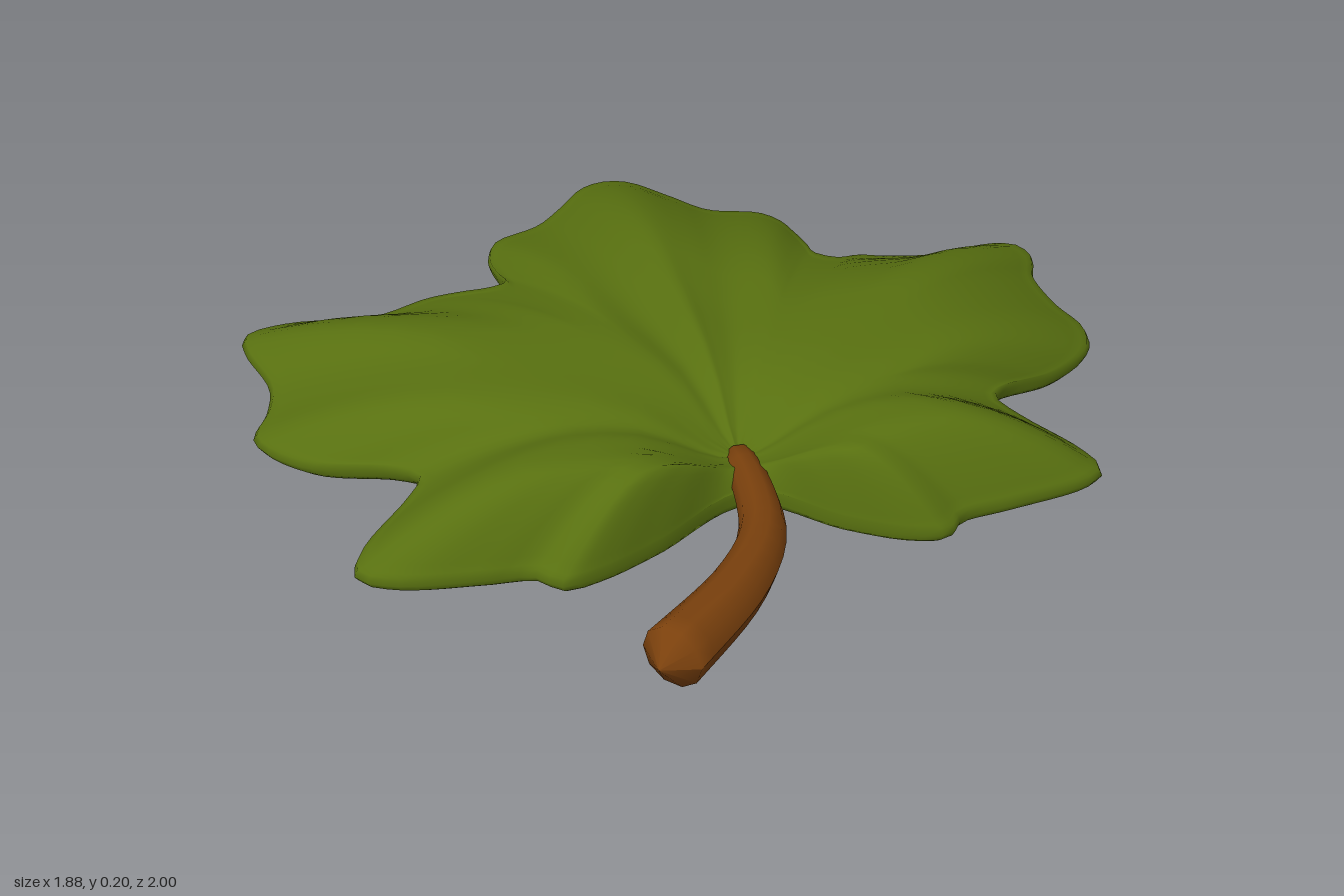
import * as THREE from 'three';

const green = new THREE.MeshStandardMaterial({ color: 0x587010 });
green.name = 'leafGreen';
const brown = new THREE.MeshStandardMaterial({ color: 0x7b410d });
brown.name = 'stemBrown';

// Leaf outline (x, z), clockwise from the tip as seen from above
const OUTLINE = [
  [0, -1], [0.06, -0.985], [0.15, -0.88], [0.23, -0.78], [0.35, -0.735], [0.39, -0.68],
  [0.405, -0.6], [0.395, -0.46], [0.385, -0.34], [0.425, -0.32], [0.5, -0.37], [0.58, -0.405],
  [0.72, -0.415], [0.86, -0.44], [0.92, -0.42], [0.935, -0.36], [0.9, -0.26], [0.9, -0.12],
  [0.92, -0.01], [0.89, 0.08], [0.78, 0.17], [0.62, 0.25], [0.59, 0.29], [0.62, 0.36],
  [0.71, 0.47], [0.725, 0.53], [0.68, 0.56], [0.52, 0.59], [0.4, 0.61], [0.36, 0.65], [0.29, 0.64],
  [0.17, 0.585], [0, 0.49], [-0.2, 0.575], [-0.32, 0.625], [-0.4, 0.64], [-0.44, 0.6],
  [-0.55, 0.59], [-0.7, 0.57], [-0.765, 0.53], [-0.75, 0.47], [-0.65, 0.36], [-0.62, 0.3],
  [-0.67, 0.25], [-0.84, 0.14], [-0.93, 0.02], [-0.9, -0.08], [-0.89, -0.18], [-0.935, -0.34],
  [-0.935, -0.41], [-0.85, -0.44], [-0.64, -0.42], [-0.53, -0.43], [-0.45, -0.38], [-0.39, -0.355],
  [-0.35, -0.37], [-0.352, -0.5], [-0.35, -0.64], [-0.32, -0.73], [-0.21, -0.79], [-0.14, -0.87],
  [-0.06, -0.975],
];
// Notches between the lobes (x, z, lift), where the rim rises off the ground
const NOTCHES = [[0.385, -0.33, 0.085], [-0.37, -0.36, 0.085], [0.6, 0.29, 0.045], [-0.63, 0.3, 0.045], [0, 0.49, 0.04]];
const PIVOT_Z = 0.41;
const THICKNESS = 0.036;

const bump = (d, width) => Math.exp(-((d / width) ** 2));

function rimHeight(x, z) {
  return NOTCHES.reduce((y, [nx, nz, lift]) => y + lift * bump(Math.hypot(x - nx, z - nz), 0.17), 0.025);
}

// Upper surface: a dome with a funnel at the stem and soft folds, falling to the rim
function topHeight(x, z, t, rimY) {
  const dz = PIVOT_Z - z;
  const r = Math.hypot(x, dz);
  const angle = Math.abs(Math.atan2(x, dz));
  const fold = Math.min(1, r / 0.4);
  const dome = 0.195 - 0.1 * bump(r, 0.15)
    + fold * (0.006 * bump(angle, 0.05) - 0.022 * bump(angle - 0.22, 0.14) - 0.025 * bump(angle - 1.38, 0.16));
  const fall = Math.max(0, (t - 0.5) / 0.5) ** 1.7;
  return dome + (rimY - dome) * fall;
}

function leafGeometry() {
  const points = OUTLINE.map(([x, z]) => new THREE.Vector3(x, rimHeight(x, z), z));
  const n = 220;
  const rim = new THREE.CatmullRomCurve3(points, true, 'centripetal').getSpacedPoints(n).slice(0, n);
  // Rows (t, drop) run out over the top, round the rim and back underneath
  const ts = [0.001, 0.06, 0.12, 0.2, 0.3, 0.4, 0.5, 0.58, 0.66, 0.74, 0.82, 0.89, 0.94, 0.97];
  const rows = [
    ...ts.map((t) => [t, 0]),
    [0.99, -0.006], [1, 0.004], [0.988, 0.022],
    ...ts.slice().reverse().map((t) => [t, THICKNESS]),
  ];
  const pos = [];
  const index = [];
  for (const [t, drop] of rows) {
    for (const p of rim) {
      const x = p.x * t;
      const z = PIVOT_Z + (p.z - PIVOT_Z) * t;
      pos.push(x, Math.max(0, topHeight(x, z, t, p.y) - drop), z);
    }
  }
  for (let k = 0; k < rows.length - 1; k++) {
    for (let i = 0; i < n; i++) {
      const j = (i + 1) % n;
      const a = k * n + i, a2 = k * n + j;
      const b = a + n, b2 = a2 + n;
      index.push(a, b2, b, a, a2, b2);
    }
  }
  const geo = new THREE.BufferGeometry();
  geo.setAttribute('position', new THREE.Float32BufferAttribute(pos, 3));
  geo.setIndex(index);
  geo.computeVertexNormals();
  return geo;
}

// Curved stem, widening towards its free end, with blunt pointed caps
function stemGeometry() {
  const path = new THREE.CatmullRomCurve3([
    new THREE.Vector3(0.005, 0.07, 0.345),
    new THREE.Vector3(0.005, 0.083, 0.5),
    new THREE.Vector3(-0.02, 0.09, 0.66),
    new THREE.Vector3(-0.1, 0.092, 0.8),
    new THREE.Vector3(-0.29, 0.092, 0.99),
  ]);
  const segs = 18, sides = 10;
  const geo = new THREE.TubeGeometry(path, segs, 1, sides, false);
  const pos = geo.attributes.position;
  const v = new THREE.Vector3();
  for (let i = 0; i <= segs; i++) {
    const u = i / segs;
    const centre = path.getPointAt(u);
    const radius = i === 0 || i === segs ? 0.0005 : 0.034 + 0.028 * u;
    for (let j = 0; j <= sides; j++) {
      const k = i * (sides + 1) + j;
      v.fromBufferAttribute(pos, k).sub(centre).multiplyScalar(radius).add(centre);
      pos.setXYZ(k, v.x, v.y, v.z);
    }
  }
  geo.computeVertexNormals();
  return geo;
}

export function createModel() {
  const group = new THREE.Group();
  group.name = 'mapleLeaf';
  const leaf = new THREE.Mesh(leafGeometry(), green);
  leaf.name = 'leafBlade';
  const stem = new THREE.Mesh(stemGeometry(), brown);
  stem.name = 'stem';
  group.add(leaf, stem);
  return group;
}
